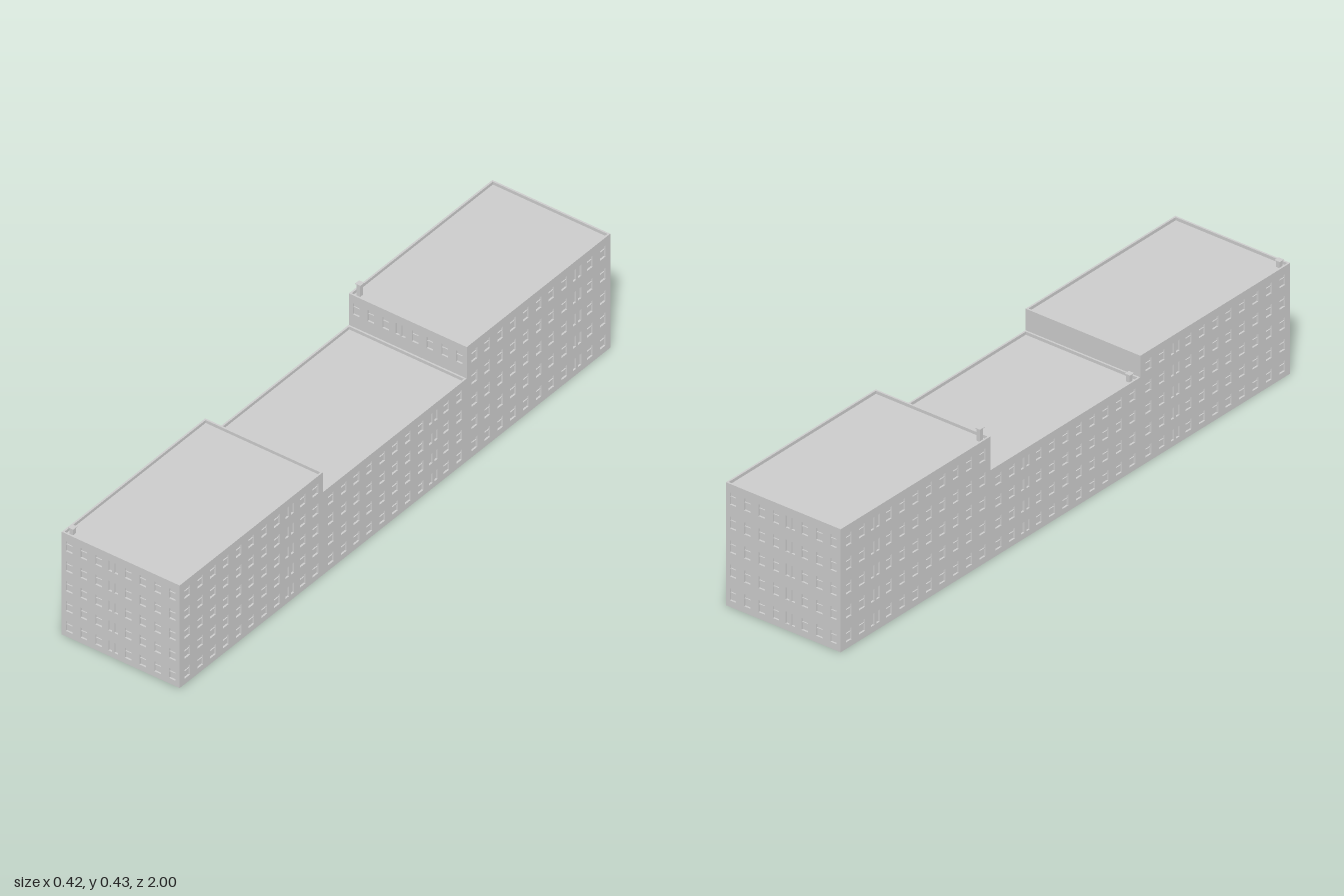
import * as THREE from 'three';

const grey = new THREE.MeshStandardMaterial({ color: 0xcccccc });
const W = 0.416;   // building width
const T = 0.006;   // wall thickness, also the window recess
const SINK = 0.01; // roof deck below the parapet

function box(name, w, h, d, x, y, z) {
  const m = new THREE.Mesh(new THREE.BoxGeometry(w, h, d), grey);
  m.position.set(x, y, z);
  m.name = name;
  return m;
}

function rectHole(shape, x, y, w, h) {
  const p = new THREE.Path();
  p.moveTo(x, y).lineTo(x, y + h).lineTo(x + w, y + h).lineTo(x + w, y).closePath();
  shape.holes.push(p);
}

// Wall panel from y0 to y1, centred on x, outer face at z = 0, with openings per floor and bay
function facade(name, width, y0, y1, floors, bays, floorH, pairBay) {
  const group = new THREE.Group();
  group.name = name;
  const s = new THREE.Shape();
  s.moveTo(-width / 2, y0).lineTo(width / 2, y0).lineTo(width / 2, y1).lineTo(-width / 2, y1).closePath();
  const bay = width / bays;
  const winH = floorH * 0.5;
  for (let f = 0; f < floors; f++) {
    const y = y1 - SINK - (f + 1) * floorH + floorH * 0.27;
    for (let b = 0; b < bays; b++) {
      const cx = -width / 2 + (b + 0.5) * bay;
      if (b === pairBay) {
        // twin narrow windows
        for (const side of [-1, 1]) rectHole(s, cx + side * bay * 0.2 - bay * 0.13, y, bay * 0.26, winH);
      } else {
        rectHole(s, cx - bay * 0.22, y, bay * 0.44, winH);
        group.add(box('windowTransom', bay * 0.44, 0.003, T * 0.6, cx, y + winH * 0.62, -T * 0.7));
      }
    }
  }
  const geo = new THREE.ExtrudeGeometry(s, { depth: T, bevelEnabled: false });
  geo.translate(0, 0, -T);
  const wall = new THREE.Mesh(geo, grey);
  wall.name = 'wall';
  group.add(wall);
  return group;
}

// Chimney with a thin cap plate, standing at the front left corner of the roof
function chimney(roofY, topY, z) {
  const g = new THREE.Group();
  g.name = 'chimney';
  const h = topY - roofY;
  g.add(box('chimneyShaft', 0.013, h, 0.013, 0, h / 2, 0));
  g.add(box('chimneyCap', 0.019, 0.002, 0.019, 0, h - 0.001, 0));
  g.position.set(-0.187, roofY, z);
  return g;
}

// One block; front and back give the windowed floors and the base height of the end walls
function block({ name, z0, z1, height, floors, chimneyTop, front, back }) {
  const g = new THREE.Group();
  g.name = name;
  const len = z1 - z0, zc = (z0 + z1) / 2;
  const floorH = (height - SINK) / floors;
  const deck = height - SINK;
  g.add(box('coreAndRoof', W - 2 * T, deck, len - 2 * T, 0, deck / 2, zc));
  for (const side of [-1, 1]) {
    const wall = facade('sideWall', len - 2 * T, 0, height, floors, 11, floorH, side > 0 ? 8 : 2);
    wall.rotation.y = side * Math.PI / 2;
    wall.position.set(side * W / 2, 0, zc);
    g.add(wall);
  }
  const f = facade('frontWall', W, front.base, height, front.floors, 8, floorH, 3);
  f.position.z = z1;
  g.add(f);
  const b = facade('backWall', W, back.base, height, back.floors, 8, floorH, 4);
  b.rotation.y = Math.PI;
  b.position.z = z0;
  g.add(b);
  g.add(chimney(deck, chimneyTop, z1 - 0.023));
  return g;
}

export function createModel() {
  const model = new THREE.Group();
  model.name = 'apartmentRow';
  const third = 1 / 3;
  model.add(
    block({
      name: 'frontBlock', z0: third, z1: 1, height: 0.36, floors: 5, chimneyTop: 0.373,
      front: { base: 0, floors: 5 }, back: { base: 0, floors: 0 },
    }),
    block({
      name: 'middleBlock', z0: -third, z1: third, height: 0.29, floors: 4, chimneyTop: 0.306,
      front: { base: 0, floors: 0 }, back: { base: 0, floors: 0 },
    }),
    block({
      name: 'backBlock', z0: -1, z1: -third, height: 0.4, floors: 5, chimneyTop: 0.432,
      front: { base: 0, floors: 1 }, back: { base: 0, floors: 5 },
    }),
  );
  return model;
}
